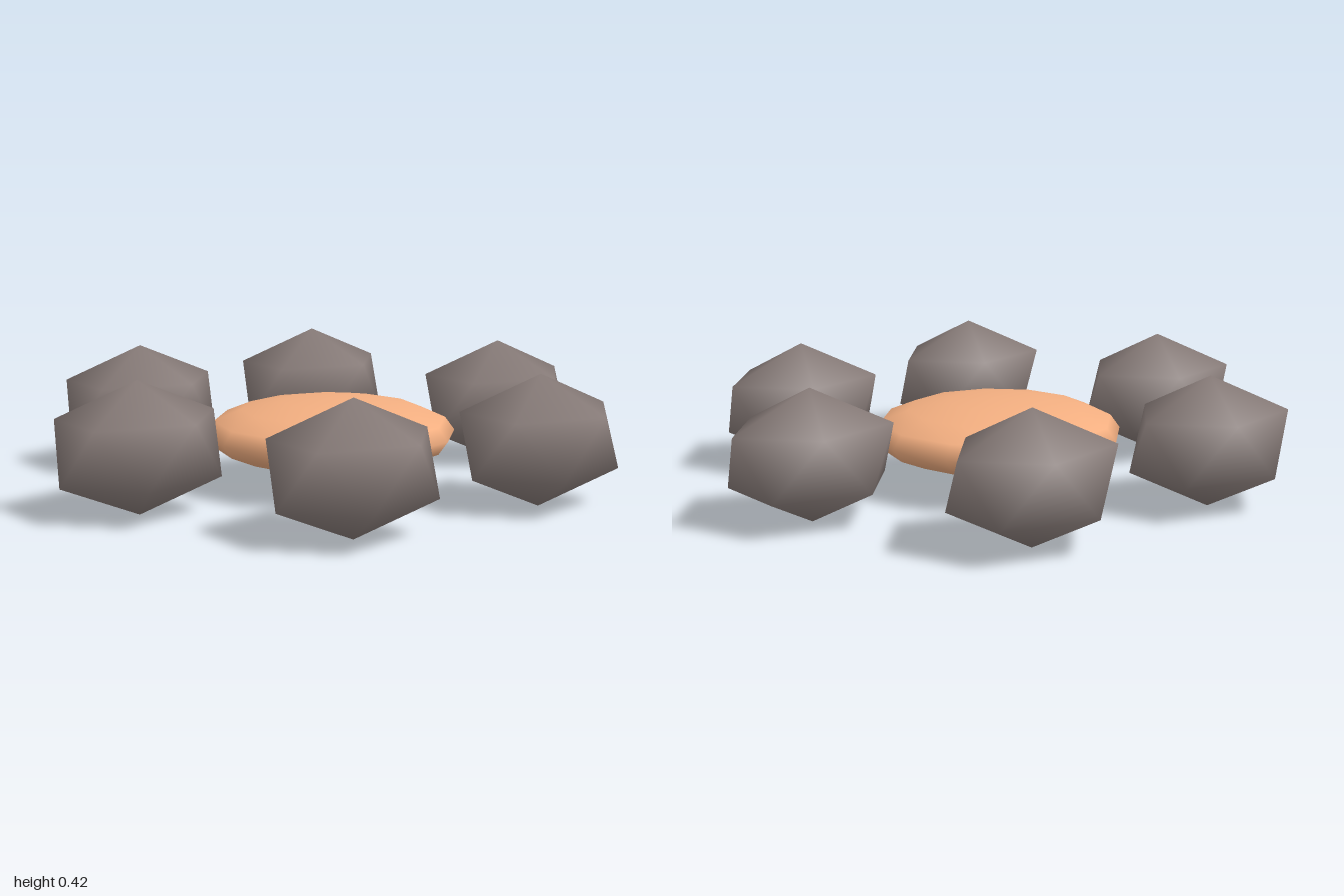
import * as THREE from 'three';
import { mergeVertices } from 'three/addons/utils/BufferGeometryUtils.js';

// Twelve-cornered stone standing on a corner, stretched sideways, smooth shaded
function stoneGeometry(rx, ry, rz) {
  let geo = new THREE.IcosahedronGeometry(1, 0);
  geo.deleteAttribute('uv');
  geo.deleteAttribute('normal');
  geo = mergeVertices(geo, 1e-4);
  geo.rotateX(-Math.atan((1 + Math.sqrt(5)) / 2));
  geo.rotateY(Math.PI / 2);
  geo.scale(rx, ry, rz);
  geo.computeVertexNormals();
  return geo;
}

export function createModel() {
  const model = new THREE.Group();
  model.name = 'stoneRing';

  // Flattened ember bed in the middle
  const emberGeo = new THREE.SphereGeometry(0.418, 12, 8);
  emberGeo.scale(1, 0.115 / 0.418, 1);
  const embers = new THREE.Mesh(emberGeo, new THREE.MeshStandardMaterial({ color: 0xf2ae80 }));
  embers.name = 'emberBed';
  embers.position.y = 0.179;
  model.add(embers);

  // Six equal stones around it, all facing the same way
  const stoneGeo = stoneGeometry(0.306, 0.2125, 0.246);
  const stoneMat = new THREE.MeshStandardMaterial({ color: 0x877b78 });
  const ringRadius = 0.7265;
  for (let i = 0; i < 6; i++) {
    const a = (i * Math.PI) / 3;
    const stone = new THREE.Mesh(stoneGeo, stoneMat);
    stone.name = `stone${i + 1}`;
    stone.position.set(ringRadius * Math.cos(a), 0.2125, ringRadius * Math.sin(a));
    model.add(stone);
  }
  return model;
}
